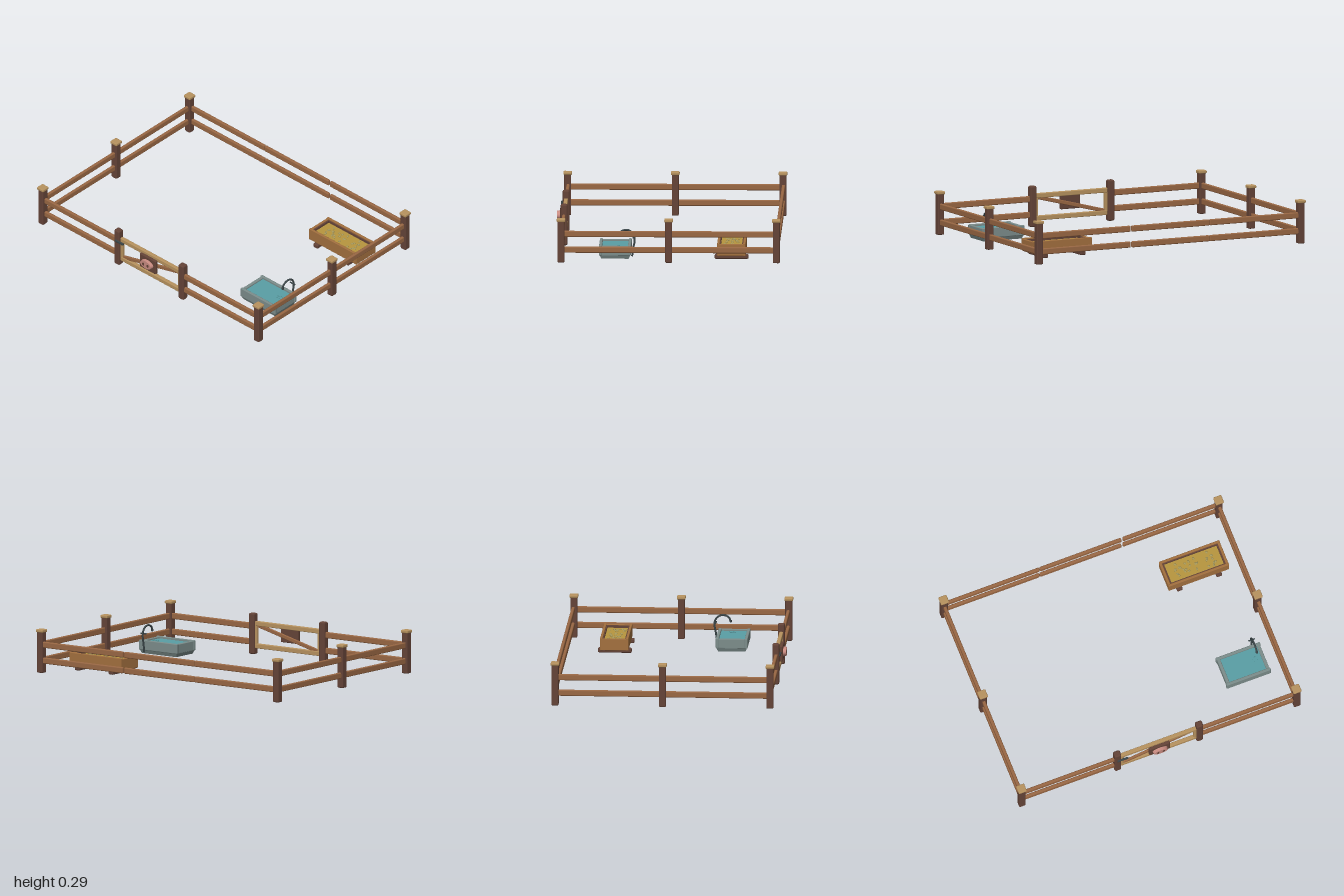
import * as THREE from 'three';
import { RoundedBoxGeometry } from 'three/addons/geometries/RoundedBoxGeometry.js';

const mat = (name, color) => Object.assign(new THREE.MeshStandardMaterial({ color }), { name });

export function createModel() {
  const M = {
    post: mat('darkWood', 0x654438),
    rail: mat('railWood', 0x9a6844),
    pale: mat('paleWood', 0xb8935f),
    trough: mat('troughWood', 0xa3703f),
    feed: mat('feed', 0xb8963f),
    kernel: mat('kernel', 0xa89a5c),
    stone: mat('tubGrey', 0x7c8d8b),
    water: mat('water', 0x5a9fa5),
    metal: mat('darkMetal', 0x3b4649),
    pink: mat('snoutPink', 0xc78a80),
  };
  const model = new THREE.Group();
  model.name = 'animalPen';

  const group = (name) => {
    const g = new THREE.Group();
    g.name = name;
    model.add(g);
    return g;
  };
  const add = (parent, name, geo, material, x, y, z) => {
    const m = new THREE.Mesh(geo, material);
    m.name = name;
    m.position.set(x, y, z);
    parent.add(m);
    return m;
  };
  // Box with softened edges; r = 0 gives a plain box
  const box = (parent, name, material, w, h, d, x, y, z, r = 0.005) =>
    add(parent, name, r ? new RoundedBoxGeometry(w, h, d, 1, r) : new THREE.BoxGeometry(w, h, d), material, x, y, z);

  // Fence posts with caps
  const X = 0.967, FRONT = 0.697, MID = -0.01, BACK = -0.717, GATE = 0.288;
  const railHeights = [0.083, 0.188];
  const fence = group('fence');
  for (const x of [-X, X]) {
    for (const z of [FRONT, MID, BACK]) {
      box(fence, 'post', M.post, 0.046, 0.275, 0.046, x, 0.1375, z, 0.007);
      box(fence, 'postCap', M.pale, 0.057, 0.02, 0.057, x, 0.279, z, 0.006);
    }
  }

  // Rails: two heights on each side
  for (const y of railHeights) {
    for (const s of [-1, 1]) {
      for (const z of [(FRONT + MID) / 2, (MID + BACK) / 2]) {
        box(fence, 'sideRail', M.rail, 0.022, 0.04, 0.7, s * X, y, z, 0.007);
      }
      box(fence, 'frontRail', M.rail, X - GATE, 0.04, 0.022, s * (X + GATE) / 2, y, FRONT - 0.003, 0.007);
      box(fence, 'backRail', M.rail, 0.674, 0.04, 0.022, s * 0.63, y, BACK - 0.004, 0.007);
    }
    box(fence, 'backRail', M.rail, 0.574, 0.04, 0.022, -0.004, y, BACK - 0.004, 0.007);
  }

  // Gate with posts, frame, brace and latch
  const gate = group('gate');
  const GZ = 0.692;
  for (const s of [-1, 1]) {
    box(gate, 'gatePost', M.post, 0.047, 0.272, 0.045, s * GATE - 0.003, 0.139, GZ, 0.01);
    box(gate, 'gateStile', M.pale, 0.022, 0.18, 0.022, s * 0.257, 0.134, GZ);
  }
  for (const y of [0.059, 0.208]) box(gate, 'gateRail', M.pale, 0.53, 0.031, 0.026, 0, y, GZ);
  box(gate, 'gateBrace', M.rail, 0.51, 0.026, 0.016, 0, 0.135, GZ).rotation.z = Math.atan2(0.125, 0.495);
  box(gate, 'latch', M.metal, 0.075, 0.015, 0.012, -0.262, 0.197, 0.718, 0.003);

  // Snout sign on the gate
  const sign = group('snoutSign');
  box(sign, 'signBoard', M.post, 0.145, 0.105, 0.022, -0.003, 0.153, 0.713, 0.006);
  const snout = add(sign, 'snout', new THREE.CylinderGeometry(0.048, 0.053, 0.024, 20), M.pink, -0.003, 0.155, 0.732);
  snout.rotation.x = Math.PI / 2;
  snout.scale.z = 0.6;
  for (const s of [-1, 1]) {
    const n = add(sign, 'nostril', new THREE.CylinderGeometry(0.008, 0.008, 0.006, 12), M.post, -0.003 + s * 0.02, 0.155, 0.743);
    n.rotation.x = Math.PI / 2;
    n.scale.z = 1.5;
  }

  // Water tub: body narrows toward the floor, rim walls above
  const tub = group('waterTub');
  const TX = 0.73, TZ = 0.345;
  const bodyGeo = new THREE.BoxGeometry(0.3, 0.07, 0.2, 1, 3, 1).toNonIndexed();
  const p = bodyGeo.attributes.position;
  for (let i = 0; i < p.count; i++) {
    if (p.getY(i) < -0.03) p.setXYZ(i, p.getX(i) * 0.94, p.getY(i), p.getZ(i) * 0.9);
  }
  bodyGeo.computeVertexNormals();
  add(tub, 'tubBody', bodyGeo, M.stone, TX, 0.043, TZ);
  for (const s of [-1, 1]) {
    box(tub, 'tubLongWall', M.stone, 0.312, 0.066, 0.02, TX, 0.064, TZ + s * 0.095);
    box(tub, 'tubEndWall', M.stone, 0.022, 0.062, 0.18, TX + s * 0.14, 0.062, TZ, 0.004);
  }
  box(tub, 'water', M.water, 0.262, 0.006, 0.174, TX, 0.08, TZ, 0);

  // Tap: bent pipe, cross handle and splash drops
  const TAPX = 0.835;
  const path = new THREE.CatmullRomCurve3(
    [[0.02, 0.233], [0.07, 0.226], [0.13, 0.216], [0.165, 0.223], [0.19, 0.25], [0.193, 0.285], [0.178, 0.312], [0.15, 0.323]]
      .map(([y, z]) => new THREE.Vector3(TAPX, y, z)));
  const tap = group('tap');
  add(tap, 'tapPipe', new THREE.TubeGeometry(path, 28, 0.0065, 8), M.metal, 0, 0, 0);
  add(tap, 'spoutTip', new THREE.CylinderGeometry(0.008, 0.008, 0.014, 8), M.metal, TAPX, 0.155, 0.322);
  const handle = add(tap, 'tapHandle', new THREE.CylinderGeometry(0.005, 0.005, 0.045, 8), M.metal, TAPX, 0.145, 0.226);
  handle.rotation.z = Math.PI / 2;
  for (let i = 0; i < 7; i++) {
    const a = i * 2.4, r = 0.009 * Math.sqrt(i);
    add(tap, 'splashDrop', new THREE.CylinderGeometry(0.005, 0.005, 0.004, 8), M.water,
      0.815 + r * Math.cos(a), 0.085, 0.332 + r * Math.sin(a));
  }

  // Feed trough on two cross beams
  const trough = group('feedTrough');
  const FX = 0.679, FZ = -0.42;
  for (const x of [0.54, 0.817]) box(trough, 'troughFoot', M.post, 0.04, 0.03, 0.222, x, 0.018, FZ, 0.008);
  box(trough, 'troughFloor', M.post, 0.41, 0.016, 0.176, FX, 0.036, FZ, 0);
  for (const s of [-1, 1]) {
    box(trough, 'troughSide', M.trough, 0.426, 0.084, 0.017, FX, 0.073, FZ + s * 0.085, 0.004);
    box(trough, 'troughEnd', M.trough, 0.018, 0.078, 0.186, FX + s * 0.204, 0.071, FZ, 0.004);
    box(trough, 'innerSide', M.post, 0.39, 0.06, 0.007, FX, 0.076, FZ + s * 0.073, 0);
    box(trough, 'innerEnd', M.post, 0.01, 0.06, 0.146, FX + s * 0.19, 0.076, FZ, 0);
  }
  box(trough, 'feed', M.feed, 0.372, 0.05, 0.142, FX, 0.066, FZ, 0);

  // Scattered kernels
  let seed = 11;
  const rnd = () => (seed = (seed * 16807) % 2147483647) / 2147483647;
  const kernelGeo = new THREE.SphereGeometry(0.011, 8, 5);
  for (let i = 0; i < 28; i++) {
    const k = add(trough, 'kernel', kernelGeo, M.kernel, 0.55 + 0.27 * rnd(), 0.092, -0.47 + 0.1 * rnd());
    k.rotation.y = rnd() * Math.PI;
    k.scale.set(1, 0.5, 0.65);
  }

  return model;
}
